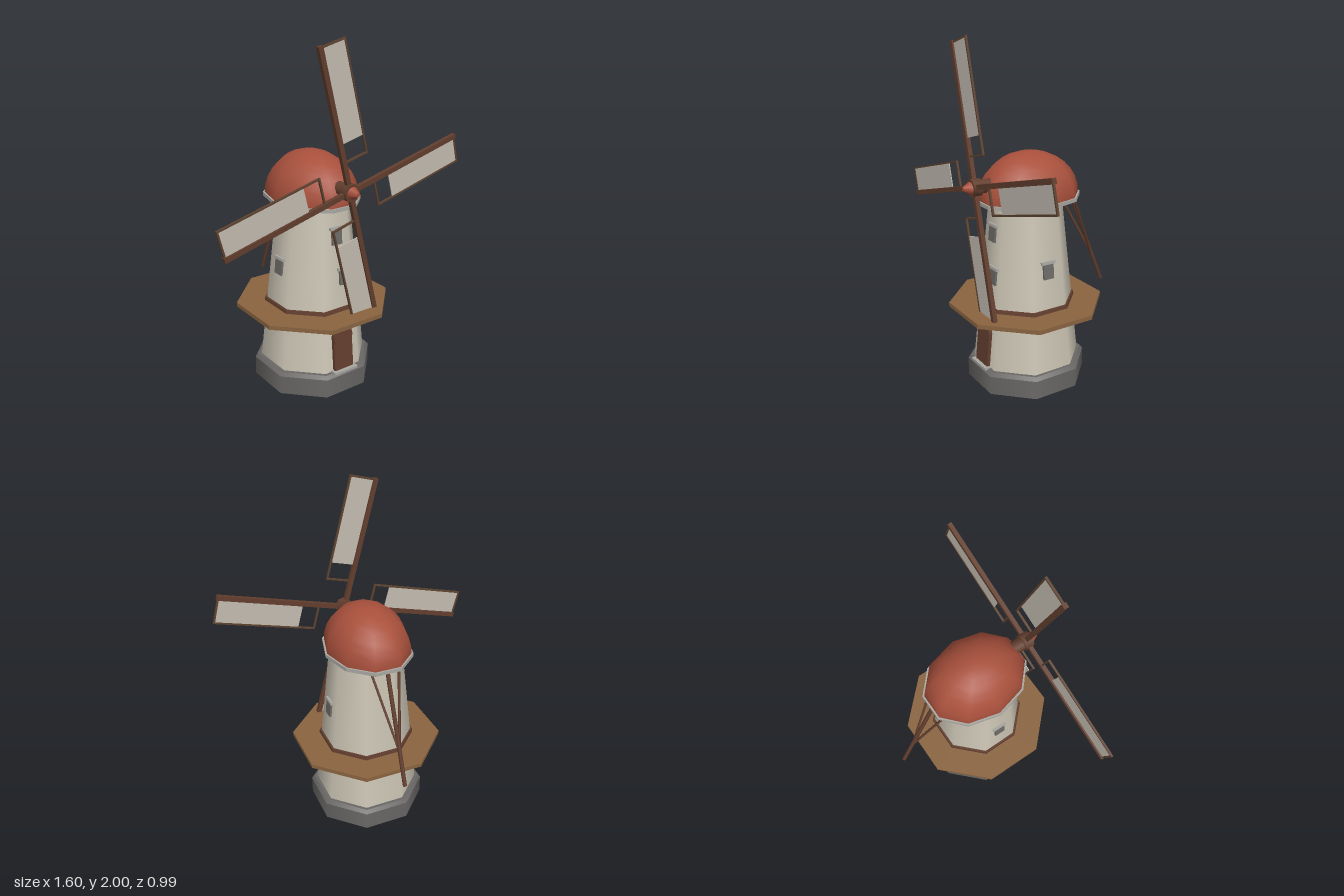
import * as THREE from 'three';
import { toCreasedNormals } from 'three/addons/utils/BufferGeometryUtils.js';

const mat = (name, color, side = THREE.FrontSide) => {
  const m = new THREE.MeshStandardMaterial({ color, side });
  m.name = name;
  return m;
};

const AXIS_Z = 0.075;                 // tower axis
const WALL = { y0: 0.13, y1: 1.1, r0: 0.29, r1: 0.195 };
const TILT = Math.atan((WALL.r0 - WALL.r1) / (WALL.y1 - WALL.y0));
const wallRadius = y => WALL.r0 - (y - WALL.y0) * Math.tan(TILT);

export function createModel() {
  const plaster = mat('plaster', 0xccc5b5);
  const stone = mat('stone', 0x6a6866);
  const trim = mat('pale stone trim', 0xaaa8a2);
  const roofRed = mat('roof red', 0xa8503c);
  const plank = mat('plank wood', 0x8a6440);
  const darkWood = mat('dark wood', 0x623e2e);
  const frameWood = mat('frame wood', 0x5e4330);
  const cloth = mat('sail cloth', 0xc2bbb0, THREE.DoubleSide);
  const glass = mat('window pane', 0x6c6a66);

  const model = new THREE.Group();
  model.name = 'windmill';

  const add = (parent, name, geo, material, x = 0, y = 0, z = 0) => {
    const mesh = new THREE.Mesh(geo, material);
    mesh.name = name;
    mesh.position.set(x, y, z);
    parent.add(mesh);
    return mesh;
  };
  const box = (parent, name, material, size, pos) =>
    add(parent, name, new THREE.BoxGeometry(...size), material, ...pos);

  // Eight-sided drum measured across its flats, between two heights
  const drum = (name, material, rBottom, rTop, y0, y1, flat = false) => {
    const k = 1 / Math.cos(Math.PI / 8);
    let geo = new THREE.CylinderGeometry(rTop * k, rBottom * k, y1 - y0, 8);
    geo.rotateY(Math.PI / 8);
    if (flat) geo = toCreasedNormals(geo, 0.3);
    return add(model, name, geo, material, 0, (y0 + y1) / 2, AXIS_Z);
  };

  // Round beam between two points
  const beam = (name, a, b, radius) => {
    const from = new THREE.Vector3(...a), to = new THREE.Vector3(...b);
    const dir = to.clone().sub(from);
    const mesh = add(model, name, new THREE.CylinderGeometry(radius, radius, dir.length(), 6), darkWood);
    mesh.position.copy(from).add(to).multiplyScalar(0.5);
    mesh.quaternion.setFromUnitVectors(new THREE.Vector3(0, 1, 0), dir.normalize());
  };

  // Group lying on the sloped wall, local +z pointing outwards
  const onWall = (name, angle, y, x = 0) => {
    const turn = new THREE.Group();
    turn.name = name;
    turn.position.set(0, y, AXIS_Z);
    turn.rotation.y = angle;
    const face = new THREE.Group();
    face.name = name + 'Face';
    face.position.set(x, 0, wallRadius(y));
    face.rotation.x = -TILT;
    turn.add(face);
    model.add(turn);
    return face;
  };

  // Stone base and tapered tower
  drum('base', stone, 0.325, 0.325, 0, 0.11);
  drum('baseBevel', stone, 0.325, 0.308, 0.11, 0.13);
  drum('tower', plaster, WALL.r0, WALL.r1, WALL.y0, WALL.y1);

  // Gallery around the tower
  drum('gallery', plank, 0.42, 0.42, 0.455, 0.48, true);
  drum('galleryCollar', darkWood, 0.268, 0.265, 0.48, 0.5, true);

  // Door with round head, and its step
  const door = onWall('door', 0, 0.13);
  box(door, 'doorPanel', darkWood, [0.13, 0.205, 0.04], [0, 0.1025, 0]);
  const head = add(door, 'doorHead', new THREE.CylinderGeometry(0.066, 0.066, 0.05, 16), darkWood, 0, 0.205, 0);
  head.rotation.x = Math.PI / 2;
  box(model, 'doorStep', trim, [0.16, 0.014, 0.06], [0, 0.131, 0.375]);

  // Windows: two at the front, one on each side
  const windows = [[0, 0.92, 0], [0, 0.68, 0.04], [Math.PI / 2, 0.725, 0], [-Math.PI / 2, 0.725, 0]];
  for (const [angle, y, x] of windows) {
    const w = onWall('window', angle, y, x);
    box(w, 'windowPane', glass, [0.066, 0.09, 0.024], [0, -0.003, 0]);
    box(w, 'windowLintel', trim, [0.088, 0.016, 0.03], [0, 0.046, 0]);
  }

  // Oval cap: dome, underside and rim
  const cap = new THREE.Group();
  cap.name = 'cap';
  cap.position.set(0, 1.1, 0.055);
  model.add(cap);
  const dome = new THREE.SphereGeometry(1, 10, 8, 0, Math.PI * 2, 0, Math.PI / 2);
  dome.scale(0.245, 0.265, 0.31);
  add(cap, 'dome', dome, roofRed);
  const under = new THREE.CircleGeometry(1, 10);
  under.rotateX(Math.PI / 2);
  under.scale(0.245, 1, 0.31);
  add(cap, 'capUnderside', under, roofRed);
  const rimProfile = [[0.9, -0.015], [1, -0.015], [1, 0.006], [0.9, 0.006], [0.9, -0.015]]
    .map(p => new THREE.Vector2(...p));
  let rim = new THREE.LatheGeometry(rimProfile, 10);
  rim.rotateY(Math.PI / 2);
  rim.scale(0.255, 1, 0.32);
  rim = rim.toNonIndexed();
  rim.computeVertexNormals();
  add(cap, 'capRim', rim, trim);

  // Axle, hub and pointed nose
  const shaft = (name, material, rBack, rFront, z0, z1) => {
    const geo = new THREE.CylinderGeometry(rFront, rBack, z1 - z0, 10);
    geo.rotateX(Math.PI / 2);
    add(model, name, toCreasedNormals(geo, 0.9), material, 0, 1.2, (z0 + z1) / 2);
  };
  shaft('axle', darkWood, 0.04, 0.04, 0.2, 0.375);
  shaft('hub', darkWood, 0.05, 0.05, 0.37, 0.425);
  shaft('nose', roofRed, 0.036, 0.012, 0.425, 0.47);

  // Four sails
  const sails = new THREE.Group();
  sails.name = 'sails';
  sails.position.set(0, 1.2, 0.4);
  model.add(sails);
  for (let i = 0; i < 4; i++) {
    const sail = new THREE.Group();
    sail.name = 'sail';
    sail.rotation.z = Math.PI / 12 + i * Math.PI / 2;
    sails.add(sail);
    box(sail, 'sailArm', darkWood, [0.028, 0.79, 0.025], [0, 0.395, 0]);
    box(sail, 'sailInnerBar', frameWood, [0.16, 0.01, 0.012], [0.08, 0.168, 0]);
    box(sail, 'sailOuterBar', frameWood, [0.16, 0.01, 0.012], [0.08, 0.781, 0]);
    box(sail, 'sailEdgeBar', frameWood, [0.01, 0.623, 0.012], [0.155, 0.4745, 0]);
    box(sail, 'sailCloth', cloth, [0.14, 0.506, 0.005], [0.08, 0.523, 0]);
  }

  // Tail pole with two braces
  beam('tailPole', [0, 1.1, -0.225], [0, 0.475, -0.484], 0.012);
  for (const s of [-1, 1]) beam('tailBrace', [s * 0.088, 1.1, -0.19], [0, 0.66, -0.405], 0.008);

  return model;
}
